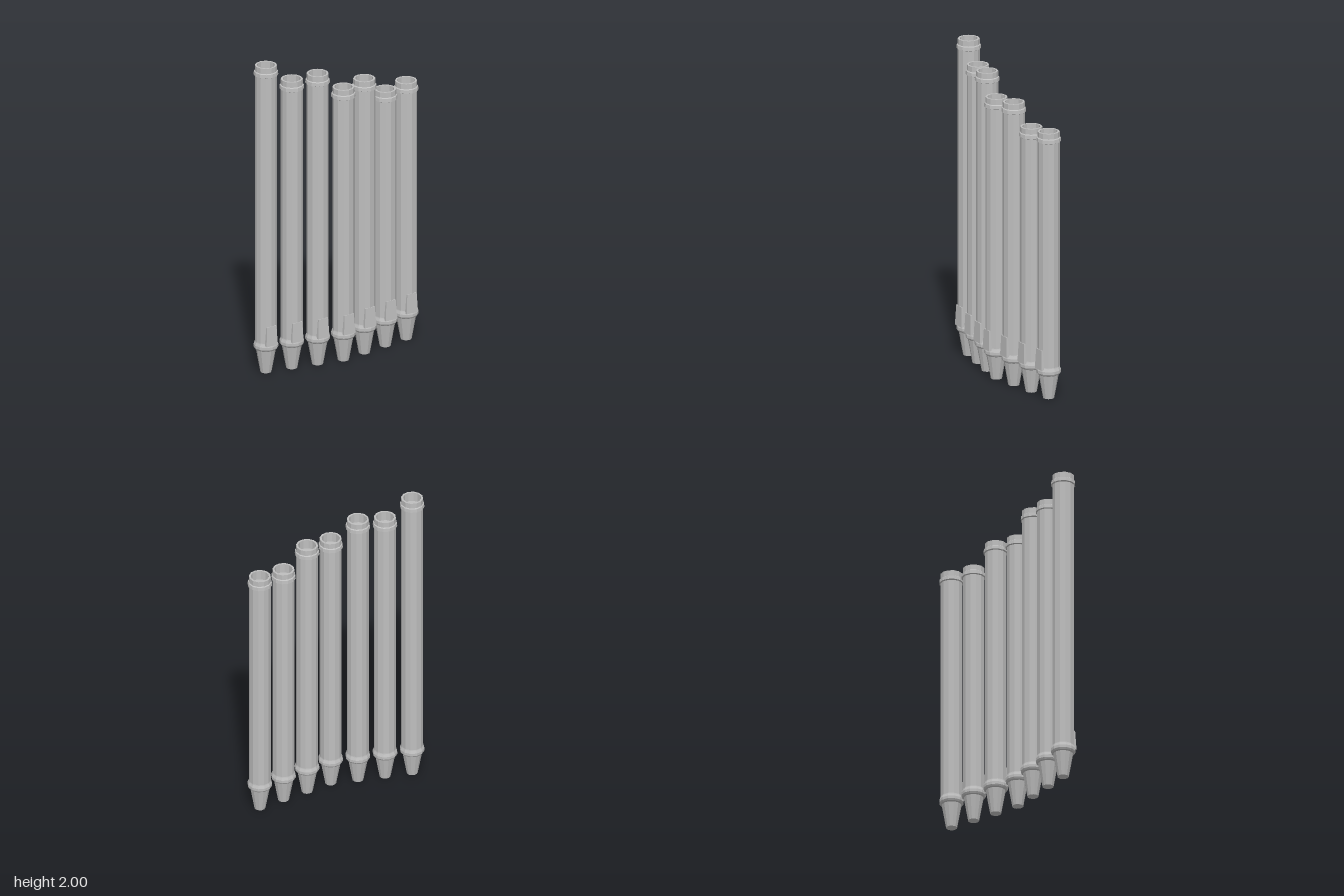
import * as THREE from 'three';

const SIDES = 12;

// Closed hollow-mouthed pipe profile, from the foot up and over the rim
function pipeProfile(h) {
  return [
    [0, 0], [0.034, 0], [0.061, 0.15],                                // tapered foot
    [0.069, 0.155], [0.075, 0.165], [0.075, 0.182], [0.068, 0.2],     // lower ring
    [0.067, 0.205], [0.067, h - 0.064],                               // body
    [0.075, h - 0.06], [0.073, h - 0.038], [0.067, h - 0.034],        // upper ring
    [0.067, h], [0.055, h], [0.055, h - 0.06], [0, h - 0.06],         // rim and bore
  ].map(([r, y]) => new THREE.Vector2(r, y));
}

// Tapered plate over the mouth, leaning outward toward its lower edge
function mouthGeometry() {
  const g = new THREE.BoxGeometry(1, 1, 1);
  const p = g.attributes.position;
  for (let i = 0; i < p.count; i++) {
    const top = p.getY(i) > 0, front = p.getZ(i) > 0;
    const halfWidth = top ? 0.033 : 0.04;
    const z = front ? (top ? 0.068 : 0.073) : 0.045;
    p.setXYZ(i, Math.sign(p.getX(i)) * halfWidth, top ? 0.315 : 0.19, z);
  }
  g.computeVertexNormals();
  return g;
}

export function createModel() {
  const group = new THREE.Group();
  group.name = 'pipeRow';
  const metal = new THREE.MeshStandardMaterial({ color: 0xbebebe });
  metal.name = 'greyMetal';
  metal.flatShading = true;

  const heights = [2.0, 1.885, 1.895, 1.78, 1.79, 1.675, 1.685];
  const mouth = mouthGeometry();

  // Seven pipes in a shallow V, the middle one furthest forward
  heights.forEach((h, i) => {
    const k = i - 3;
    const pipe = new THREE.Group();
    pipe.name = 'pipe' + (i + 1);
    const body = new THREE.Mesh(new THREE.LatheGeometry(pipeProfile(h), SIDES), metal);
    body.name = 'pipeBody';
    const plate = new THREE.Mesh(mouth, metal);
    plate.name = 'mouthPlate';
    pipe.add(body, plate);
    pipe.position.set(k * 0.1655, 0, 0.041 - Math.abs(k) * 0.0283);
    group.add(pipe);
  });
  return group;
}
